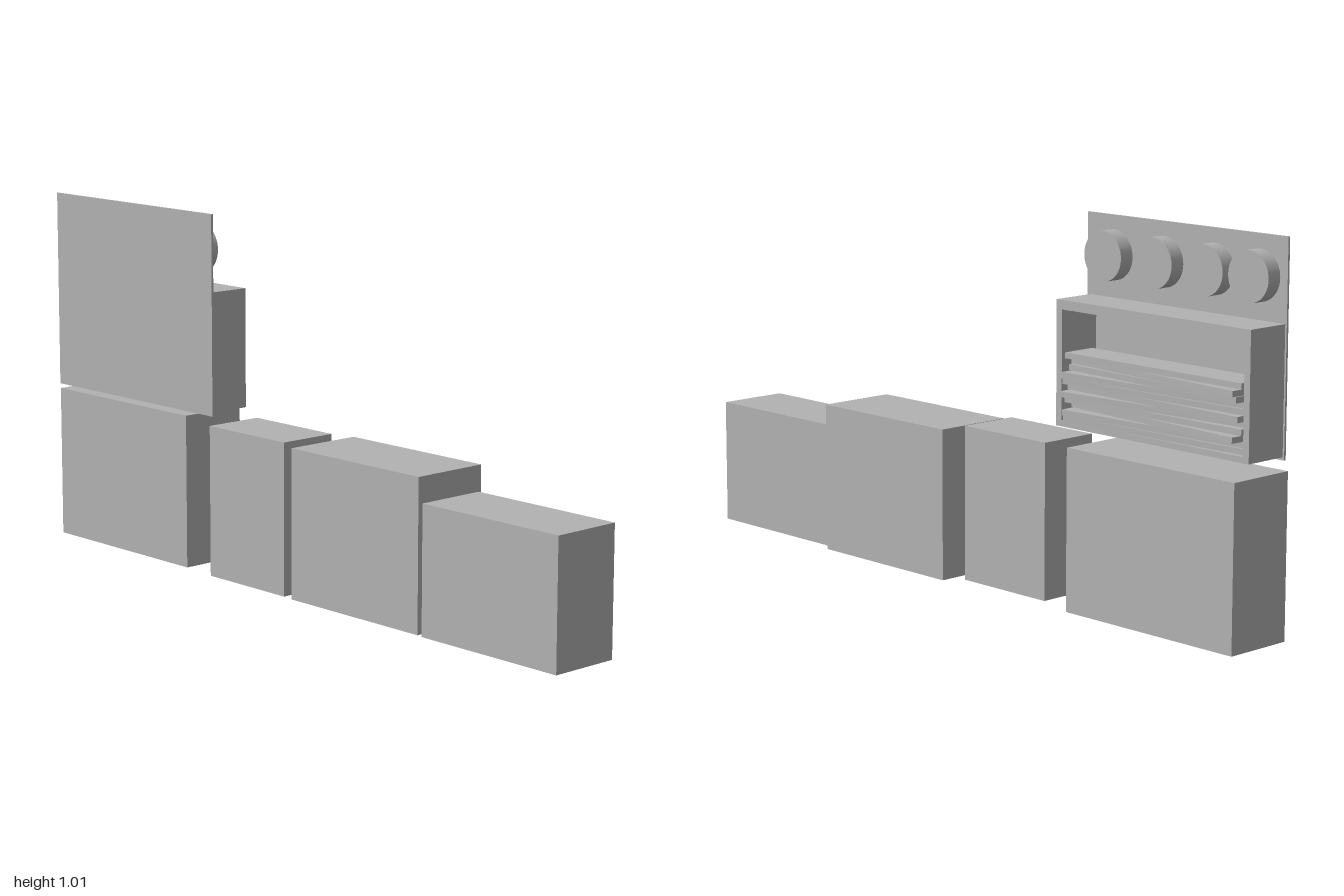
import * as THREE from 'three';

const grey = new THREE.MeshStandardMaterial({ color: 0xb2b2b2 });
grey.name = 'light grey';

// Box given by its limits on each axis
function block(name, [x0, x1], [y0, y1], [z0, z1]) {
  const mesh = new THREE.Mesh(new THREE.BoxGeometry(x1 - x0, y1 - y0, z1 - z0), grey);
  mesh.position.set((x0 + x1) / 2, (y0 + y1) / 2, (z0 + z1) / 2);
  mesh.name = name;
  return mesh;
}

export function createModel() {
  const model = new THREE.Group();
  model.name = 'cabinetRow';

  // Four floor cabinets in a row
  model.add(
    block('frontCabinet', [-0.115, 0.088], [0, 0.35], [0.532, 1]),
    block('wideCabinet', [-0.111, 0.115], [0, 0.415], [0.03, 0.513]),
    block('narrowCabinet', [-0.106, 0.067], [0, 0.424], [-0.312, -0.006]),
    block('rearCabinet', [-0.094, 0.103], [0, 0.434], [-1, -0.428]),
  );

  // Upright back panel
  model.add(block('backPanel', [-0.115, -0.109], [0.454, 1.011], [-0.974, -0.289]));

  // Round knobs on the panel
  for (const z of [-0.385, -0.562, -0.734, -0.884]) {
    const knob = new THREE.Mesh(new THREE.CylinderGeometry(0.066, 0.066, 0.044, 48), grey);
    knob.rotation.z = -Math.PI / 2;
    knob.position.set(-0.088, 0.907, z);
    knob.name = 'knob';
    model.add(knob);
  }

  // Open box: a rectangular frame closed at the back by the panel
  const depth = 0.127;
  const frame = new THREE.Shape();
  frame.moveTo(0.302, 0.462).lineTo(0.969, 0.462).lineTo(0.969, 0.795).lineTo(0.302, 0.795).closePath();
  const opening = new THREE.Path();
  opening.moveTo(0.322, 0.478).lineTo(0.322, 0.77).lineTo(0.95, 0.77).lineTo(0.95, 0.478).closePath();
  frame.holes.push(opening);
  const shelf = new THREE.Mesh(
    new THREE.ExtrudeGeometry(frame, { depth, bevelEnabled: false }), grey);
  shelf.rotation.y = Math.PI / 2; // shape x runs towards -z, depth towards +x
  shelf.position.x = -0.11;
  shelf.name = 'openBox';
  model.add(shelf);

  // Untidy stack of flat sheets, each turned a little
  const stack = new THREE.Group();
  stack.name = 'sheetStack';
  const turns = [0.035, 0.05, -0.083, 0.01, 0.078, -0.03, 0.04, 0.05, -0.05, -0.083, 0.005];
  const thick = 0.0165;
  turns.forEach((turn, i) => {
    const sheet = new THREE.Mesh(new THREE.BoxGeometry(0.1, thick - 0.001, 0.605), grey);
    sheet.position.set(-0.035, 0.478 + thick * (i + 0.5), -0.636);
    sheet.rotation.y = turn;
    sheet.name = 'sheet';
    stack.add(sheet);
  });
  model.add(stack);

  return model;
}
